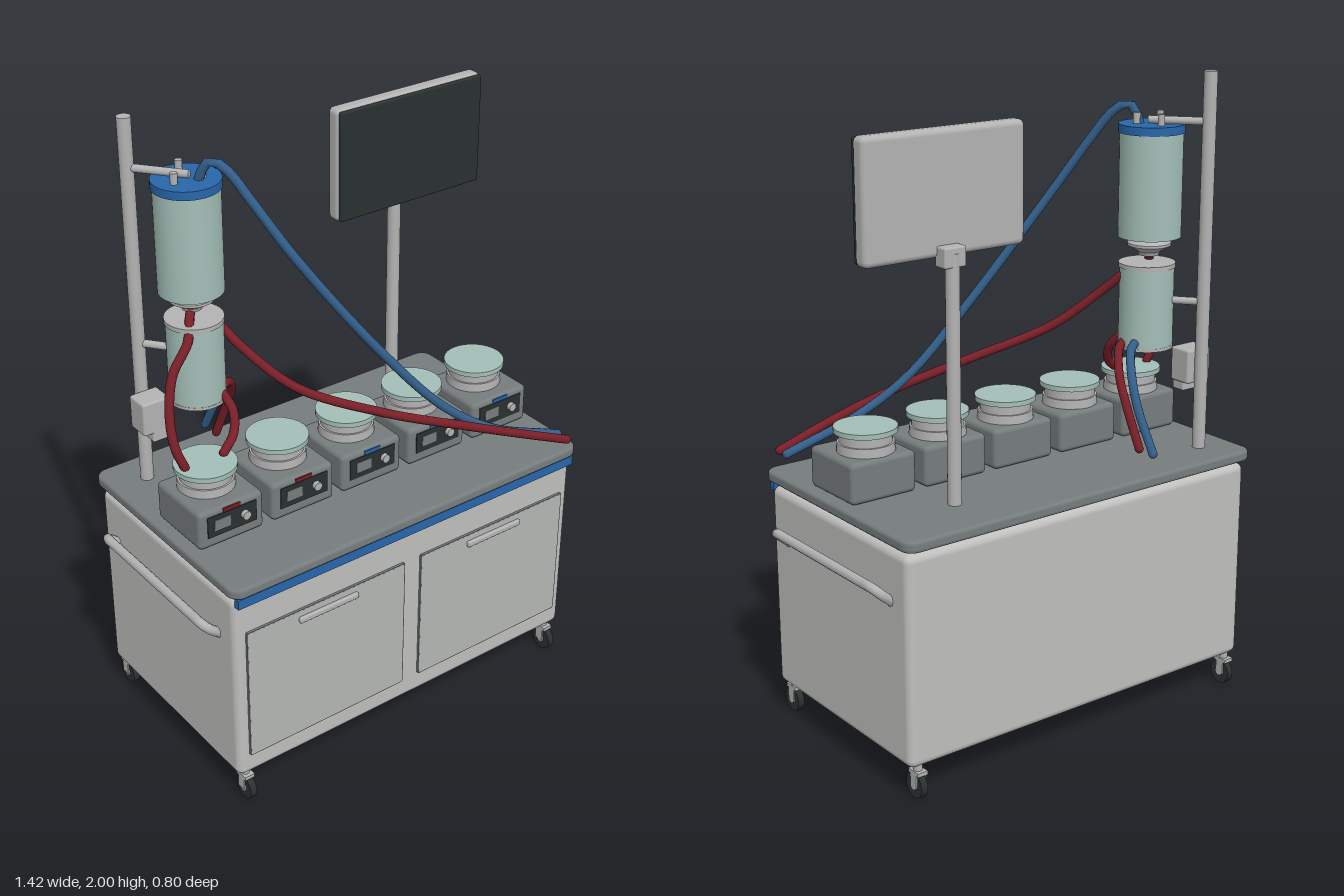
import * as THREE from 'three';
import { RoundedBoxGeometry } from 'three/addons/geometries/RoundedBoxGeometry.js';

const mat = (name, color) => {
  const m = new THREE.MeshStandardMaterial({ color });
  m.name = name;
  return m;
};

export function createModel() {
  const root = new THREE.Group();
  root.name = 'labCart';
  const body = mat('paintedBody', 0xbfc0be);
  const door = mat('doorPanel', 0xb4b6b4);
  const steel = mat('steel', 0xb2b3b2);
  const slate = mat('slateGrey', 0x767c7d);
  const dark = mat('darkScreen', 0x2a3131);
  const glass = mat('paleTeal', 0xa3bfb7);
  const blue = mat('blueTrim', 0x2866aa);
  const red = mat('redHose', 0x7a1f28);
  const hoseBlue = mat('blueHose', 0x335f8a);

  const add = (name, geo, m, x = 0, y = 0, z = 0, parent = root) => {
    const mesh = new THREE.Mesh(geo, m);
    mesh.name = name;
    mesh.position.set(x, y, z);
    parent.add(mesh);
    return mesh;
  };
  const group = (name, x = 0, y = 0, z = 0) => {
    const g = new THREE.Group();
    g.name = name;
    g.position.set(x, y, z);
    root.add(g);
    return g;
  };
  const box = (w, h, d) => new THREE.BoxGeometry(w, h, d);
  const rbox = (w, h, d, r) => new RoundedBoxGeometry(w, h, d, 3, r);
  const cyl = (r, h, n = 32, r2 = r) => new THREE.CylinderGeometry(r2, r, h, n);
  const v = (p) => new THREE.Vector3(...p);
  const rod = (name, a, b, r, m, parent = root) => {
    const A = v(a), B = v(b), d = B.clone().sub(A);
    const mesh = add(name, cyl(r, d.length(), 16), m, 0, 0, 0, parent);
    mesh.position.copy(A).addScaledVector(d, 0.5);
    mesh.quaternion.setFromUnitVectors(new THREE.Vector3(0, 1, 0), d.normalize());
    return mesh;
  };
  // Hose along a smooth path, closed with round ends
  const hose = (name, pts, m, r = 0.014) => {
    const g = group(name);
    const curve = new THREE.CatmullRomCurve3(pts.map(v), false, 'centripetal');
    add(name + 'Run', new THREE.TubeGeometry(curve, 48, r, 10), m, 0, 0, 0, g);
    for (const p of [pts[0], pts[pts.length - 1]])
      add(name + 'End', new THREE.SphereGeometry(r, 10, 8), m, ...p, g);
  };

  // Cabinet
  add('cabinet', rbox(1.3, 0.66, 0.74, 0.025), body, 0, 0.435, -0.005);
  add('blueStrip', box(1.285, 0.032, 0.02), blue, 0, 0.762, 0.37);
  for (const s of [-1, 1]) {
    add('door', box(0.575, 0.455, 0.01), door, s * 0.322, 0.413, 0.368);
    for (const [w, h, x, y] of [[0.575, 0.006, 0, 0.2275], [0.575, 0.006, 0, -0.2275],
      [0.006, 0.455, 0.2875, 0], [0.006, 0.455, -0.2875, 0]])
      add('doorEdge', box(w, h, 0.009), slate, s * 0.322 + x, 0.413 + y, 0.3682);
    add('doorPull', rbox(0.215, 0.02, 0.014, 0.005), steel, s * 0.322, 0.61, 0.377);
  }

  // Worktop with rounded corners and bevelled rim
  const W = 0.65, D = 0.382, R = 0.03;
  const top = new THREE.Shape();
  top.absarc(W - R, D - R, R, 0, Math.PI / 2);
  top.absarc(R - W, D - R, R, Math.PI / 2, Math.PI);
  top.absarc(R - W, R - D, R, Math.PI, Math.PI * 1.5);
  top.absarc(W - R, R - D, R, Math.PI * 1.5, Math.PI * 2);
  const topGeo = new THREE.ExtrudeGeometry(top, {
    depth: 0.016, bevelThickness: 0.01, bevelSize: 0.011, bevelSegments: 3, curveSegments: 6,
  });
  topGeo.rotateX(-Math.PI / 2);
  add('worktop', topGeo, slate, 0, 0.79, -0.005);

  // Side handles
  for (const s of [-1, 1]) {
    const path = [[0.64, 0.6, 0.275], [0.68, 0.635, 0.277], [0.695, 0.65, 0.26], [0.695, 0.65, 0.2],
      [0.695, 0.65, -0.21], [0.695, 0.65, -0.27], [0.68, 0.635, -0.287], [0.64, 0.6, -0.285]];
    hose('sideHandle', path.map(([x, y, z]) => [s * x, y, z]), steel, 0.015);
  }

  // Casters
  for (const x of [-0.61, 0.61]) for (const z of [0.34, -0.347]) {
    const g = group('caster', x, 0, z);
    add('wheel', cyl(0.04, 0.022, 20), dark, 0, 0.04, 0, g).rotation.z = Math.PI / 2;
    add('hub', cyl(0.014, 0.03, 12), steel, 0, 0.04, 0, g).rotation.z = Math.PI / 2;
    add('stem', cyl(0.014, 0.04, 12), steel, 0, 0.097, -0.006, g);
    add('forkTop', box(0.034, 0.012, 0.05), steel, 0, 0.085, -0.006, g);
    for (const s of [-1, 1]) add('forkSide', box(0.004, 0.05, 0.03), steel, s * 0.015, 0.062, -0.005, g);
  }

  // Row of five stirrers
  [-0.515, -0.258, 0, 0.257, 0.515].forEach((x, i) => {
    const g = group('stirrer', x, 0.815, 0.048);
    add('housing', rbox(0.226, 0.128, 0.232, 0.016), slate, 0, 0.066, 0, g);
    add('controlPanel', box(0.17, 0.07, 0.006), dark, 0, 0.075, 0.116, g);
    add('display', box(0.055, 0.035, 0.008), slate, -0.035, 0.077, 0.117, g);
    add('dial', cyl(0.014, 0.018, 10), steel, 0.043, 0.077, 0.124, g).rotation.x = Math.PI / 2;
    add('tag', box(0.06, 0.012, 0.006), i < 2 ? red : blue, 0, 0.117, 0.115, g);
    add('collar', cyl(0.088, 0.03, 32, 0.086), steel, 0, 0.143, -0.018, g);
    add('neck', cyl(0.08, 0.036), steel, 0, 0.172, -0.018, g);
    add('platform', cyl(0.096, 0.016, 32), glass, 0, 0.197, -0.018, g);
  });

  // Stand pole, clamp and arms
  add('standPole', cyl(0.021, 1.19, 20), steel, -0.54, 1.405, -0.275);
  add('clampBlock', rbox(0.095, 0.11, 0.08, 0.008), steel, -0.545, 1.08, -0.22);
  add('clampFoot', rbox(0.055, 0.04, 0.05, 0.006), steel, -0.535, 1.015, -0.205);
  rod('upperArm', [-0.54, 1.848, -0.275], [-0.425, 1.848, -0.13], 0.012, steel);
  rod('lowerArm', [-0.54, 1.29, -0.275], [-0.45, 1.29, -0.16], 0.012, steel);

  // Upper vessel with cap, ports and outlet
  const upper = group('upperVessel', -0.432, 0, -0.138);
  add('upperBody', cyl(0.098, 0.325, 36), glass, 0, 1.652, 0, upper);
  add('upperCap', cyl(0.102, 0.026, 36), blue, 0, 1.824, 0, upper);
  for (const [x, z] of [[0.01, -0.053], [-0.05, 0.018], [0.04, 0.025]])
    add('port', cyl(0.011, 0.035, 12), steel, x, 1.853, z, upper);
  const outlet = [[0, 1.43], [0.03, 1.43], [0.035, 1.442], [0.068, 1.462], [0.068, 1.47], [0.045, 1.49], [0, 1.49]];
  const outletGeo = new THREE.LatheGeometry(outlet.map(([r, y]) => new THREE.Vector2(r, y)), 24).toNonIndexed();
  outletGeo.computeVertexNormals();
  add('outlet', outletGeo, steel, 0, 0, 0, upper);

  // Lower vessel
  const lower = group('lowerVessel', -0.432, 0, -0.13);
  add('lowerBody', cyl(0.086, 0.25, 36), glass, 0, 1.27, 0, lower);
  add('lowerLid', cyl(0.089, 0.014, 36), steel, 0, 1.4, 0, lower);
  add('lowerBase', cyl(0.087, 0.01, 36), steel, 0, 1.141, 0, lower);

  // Monitor on its post
  add('monitorPost', cyl(0.021, 0.75, 20), steel, 0.375, 1.185, -0.22);
  add('monitorBracket', rbox(0.075, 0.06, 0.05, 0.006), steel, 0.375, 1.55, -0.213);
  add('monitorCase', rbox(0.55, 0.36, 0.055, 0.018), steel, 0.375, 1.725, -0.172);
  add('monitorScreen', rbox(0.54, 0.35, 0.016, 0.007), dark, 0.375, 1.725, -0.143);

  // Hoses
  hose('longBlueHose', [[-0.41, 1.83, -0.11], [-0.4, 1.875, -0.095], [-0.385, 1.895, -0.08],
    [-0.355, 1.87, -0.045], [-0.31, 1.78, 0.01], [-0.22, 1.61, 0.09], [0, 1.29, 0.2],
    [0.2, 1.06, 0.265], [0.36, 0.95, 0.31], [0.6, 0.86, 0.347]], hoseBlue);
  hose('longRedHose', [[-0.365, 1.37, -0.095], [-0.33, 1.31, -0.035], [-0.22, 1.19, 0.08],
    [0, 1.09, 0.215], [0.25, 1.0, 0.315], [0.43, 0.93, 0.362], [0.6, 0.86, 0.39]], red);
  hose('leftRedHose', [[-0.432, 1.44, -0.138], [-0.455, 1.42, -0.115], [-0.5, 1.37, -0.06],
    [-0.565, 1.29, -0.045], [-0.6, 1.18, -0.015], [-0.605, 1.09, 0.015], [-0.585, 1.025, 0.03]], red);
  hose('middleRedHose', [[-0.385, 1.16, -0.06], [-0.38, 1.12, -0.02], [-0.4, 1.065, 0.01],
    [-0.45, 1.025, 0.03]], red);
  hose('rearRedHose', [[-0.375, 1.16, -0.1], [-0.32, 1.145, -0.135], [-0.275, 1.08, -0.19],
    [-0.265, 0.99, -0.24], [-0.27, 0.87, -0.295]], red);
  hose('rearBlueHose', [[-0.365, 1.165, -0.16], [-0.32, 1.15, -0.19], [-0.275, 1.08, -0.25],
    [-0.265, 1.0, -0.29], [-0.27, 0.87, -0.358]], hoseBlue);

  return root;
}
